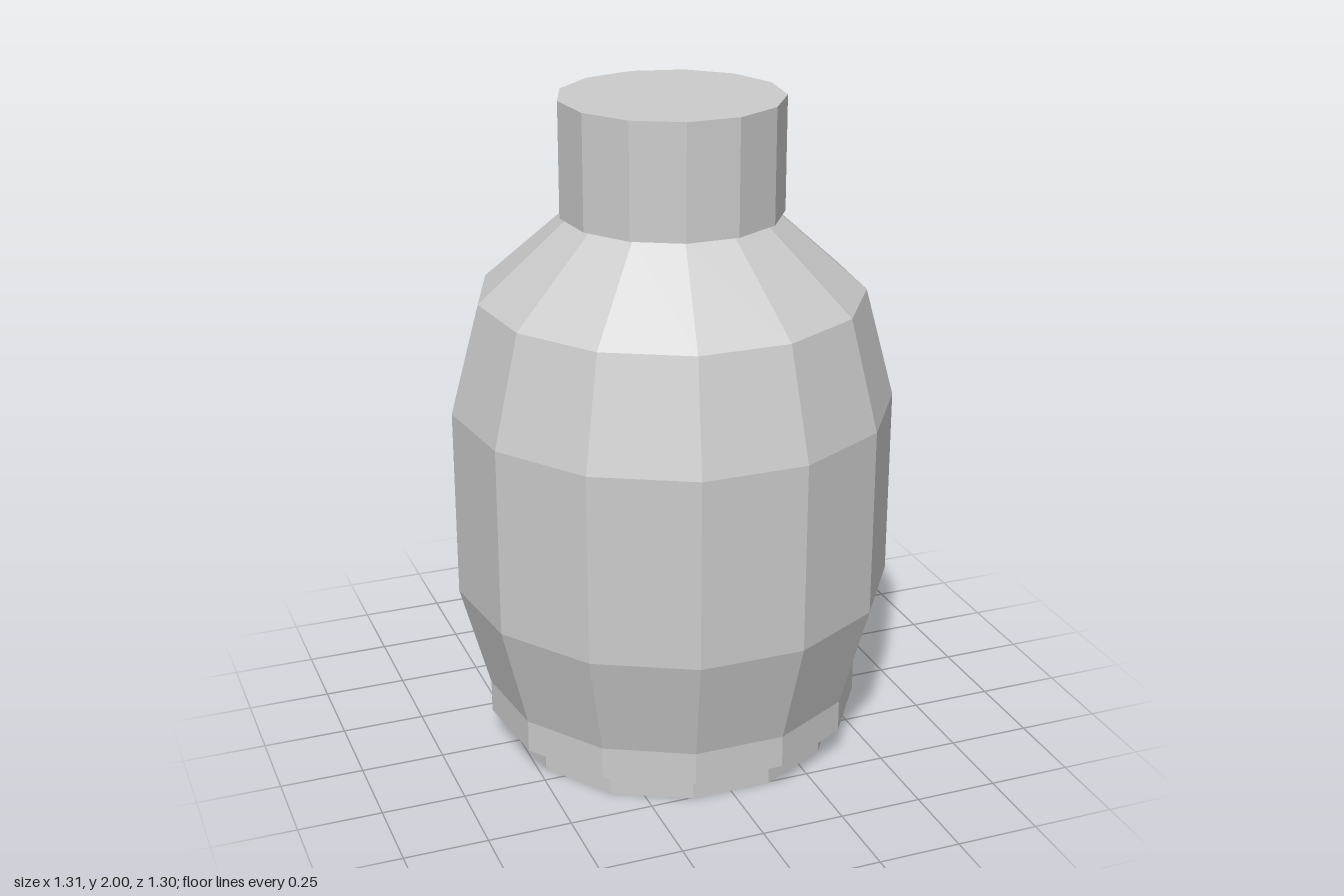
import * as THREE from 'three';

const SIDES = 13;

export function createModel() {
  const group = new THREE.Group();
  const material = new THREE.MeshStandardMaterial({ color: 0xcccccc, flatShading: true });

  // Closed 13-sided solid turned from [radius, height] pairs, bottom to top, one corner at the back
  const turn = (name, profile) => {
    const points = profile.map(([r, y]) => new THREE.Vector2(r, y));
    const mesh = new THREE.Mesh(new THREE.LatheGeometry(points, SIDES, Math.PI), material);
    mesh.name = name;
    mesh.position.z = 0.01; // an odd number of sides sits slightly off centre
    group.add(mesh);
  };

  // Recessed foot
  turn('base', [[0, 0], [0.51, 0], [0.51, 0.09], [0, 0.09]]);

  // Barrel-shaped body with sloping shoulder
  turn('body', [
    [0, 0.09], [0.574, 0.09], [0.574, 0.19], [0.662, 0.515],
    [0.662, 1.09], [0.574, 1.42], [0.305, 1.66], [0, 1.66],
  ]);

  // Cap, slightly wider than the top of the shoulder
  turn('cap', [[0, 1.66], [0.33, 1.66], [0.33, 2], [0, 2]]);

  return group;
}
